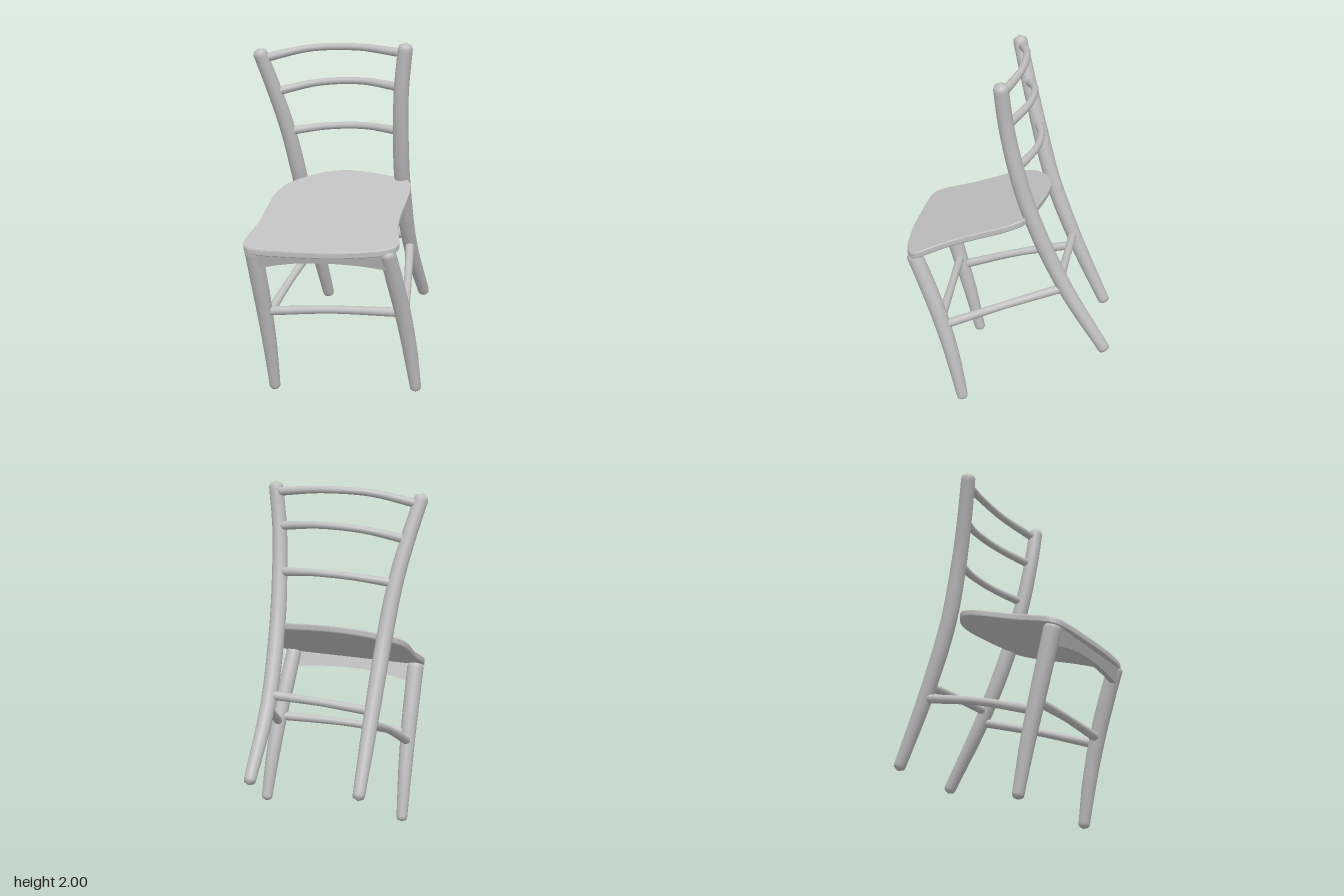
import * as THREE from 'three';
import { mergeVertices } from 'three/addons/utils/BufferGeometryUtils.js';

const grey = new THREE.MeshStandardMaterial({ color: 0xbfbfbf });
grey.name = 'plainGrey';

// Smooth round bar through points [x, y, z], tapering through the given radii, with rounded ends
function bar(name, points, radii, segments = 110) {
  const curve = new THREE.CatmullRomCurve3(points.map((p) => new THREE.Vector3(...p)));
  const length = curve.getLength();
  let geo = new THREE.TubeGeometry(curve, segments, 1, 16);
  const pos = geo.attributes.position;
  const v = new THREE.Vector3();
  for (let i = 0; i <= segments; i++) {
    const t = i / segments;
    const c = curve.getPointAt(t);
    const f = t * (radii.length - 1);
    const k = Math.min(Math.floor(f), radii.length - 2);
    let r = THREE.MathUtils.lerp(radii[k], radii[k + 1], f - k);
    const d = Math.min(t, 1 - t) * length / (r * 0.8);
    if (d < 1) r *= Math.sqrt(Math.max(0, 1 - (1 - d) ** 2));
    for (let j = 0; j <= 16; j++) {
      const n = i * 17 + j;
      v.fromBufferAttribute(pos, n).sub(c).multiplyScalar(r).add(c);
      pos.setXYZ(n, v.x, v.y, v.z);
    }
  }
  geo.deleteAttribute('uv');
  geo.deleteAttribute('normal');
  geo = mergeVertices(geo, 1e-5);
  geo.computeVertexNormals();
  return named(name, geo);
}

function named(name, geo) {
  const mesh = new THREE.Mesh(geo, grey);
  mesh.name = name;
  return mesh;
}

// Tilted seat slab with a rounded back and waisted sides; outline is [x, z]
function seat() {
  const outline = [
    [-0.41, 0.13], [-0.375, 0.29], [-0.35, 0.4], [-0.345, 0.5], [-0.33, 0.58], [-0.3, 0.61], [-0.25, 0.615],
    [0, 0.58], [0.22, 0.535], [0.44, 0.46], [0.495, 0.42], [0.505, 0.385], [0.48, 0.34], [0.43, 0.25],
    [0.4, 0.17], [0.37, 0.05], [0.335, -0.08], [0.29, -0.15], [0.2, -0.17], [0.02, -0.18],
    [-0.12, -0.17], [-0.23, -0.13], [-0.33, -0.05], [-0.395, 0.03],
  ];
  const curve = new THREE.CatmullRomCurve3(outline.map(([x, z]) => new THREE.Vector3(x, -z, 0)), true);
  const shape = new THREE.Shape(curve.getPoints(120).slice(0, -1).map((p) => new THREE.Vector2(p.x, p.y)));
  const geo = new THREE.ExtrudeGeometry(shape, {
    depth: 0.02, bevelThickness: 0.01, bevelSize: 0.008, bevelSegments: 3,
  });
  geo.rotateX(-Math.PI / 2);
  const pos = geo.attributes.position;
  for (let i = 0; i < pos.count; i++) {
    pos.setY(i, pos.getY(i) + 1.12 - 0.35 * pos.getZ(i));
  }
  geo.computeVertexNormals();
  return named('seat', geo);
}

// Arched board under the front edge of the seat
function apron() {
  const shape = new THREE.Shape();
  shape.moveTo(-0.29, 0.92);
  shape.lineTo(-0.29, 0.79);
  shape.quadraticCurveTo(-0.1, 0.86, 0.1, 0.872);
  shape.quadraticCurveTo(0.3, 0.885, 0.46, 0.865);
  shape.lineTo(0.46, 0.97);
  shape.closePath();
  const geo = new THREE.ExtrudeGeometry(shape, { depth: 0.03, bevelEnabled: false, curveSegments: 12 });
  const pos = geo.attributes.position;
  for (let i = 0; i < pos.count; i++) {
    const x = pos.getX(i), y = pos.getY(i);
    pos.setZ(i, pos.getZ(i) + 0.525 - 0.21 * x + 0.3 * (y - 0.94 - 0.07 * x));
  }
  geo.computeVertexNormals();
  return named('frontApron', geo);
}

export function createModel() {
  const group = new THREE.Group();
  group.name = 'chair';

  // Curved back posts, running from the feet to the top of the back
  group.add(
    bar('rightBackPost', [[-0.395, 0.315, -0.445], [-0.38, 0.74, -0.25], [-0.38, 1.12, -0.1],
      [-0.405, 1.44, -0.005], [-0.445, 1.68, 0.07], [-0.5, 1.932, 0.15]],
    [0.033, 0.041, 0.045, 0.045, 0.042, 0.04]),
    bar('leftBackPost', [[0.18, 0.375, -0.615], [0.2, 0.78, -0.362], [0.237, 1.19, -0.188],
      [0.265, 1.48, -0.107], [0.29, 1.74, -0.06], [0.325, 2, -0.04]],
    [0.033, 0.041, 0.045, 0.045, 0.042, 0.04]),
  );

  // Front legs, thicker under the seat
  group.add(
    bar('rightFrontLeg', [[-0.305, 0, 0.335], [-0.297, 0.28, 0.395], [-0.29, 0.52, 0.458], [-0.285, 0.93, 0.575]],
      [0.031, 0.041, 0.047, 0.049]),
    bar('leftFrontLeg', [[0.5, 0.08, 0.133], [0.488, 0.36, 0.198], [0.477, 0.6, 0.272], [0.467, 0.8, 0.35],
      [0.46, 0.985, 0.43]], [0.031, 0.04, 0.045, 0.047, 0.045]),
  );

  group.add(seat(), apron());

  // Bowed rails of the back
  const rails = [
    [[-0.485, 1.875, 0.125], [-0.25, 1.935, 0.015], [0.02, 1.953, -0.05], [0.31, 1.94, -0.05]],
    [[-0.445, 1.68, 0.07], [-0.23, 1.735, -0.04], [0.02, 1.758, -0.09], [0.29, 1.748, -0.065]],
    [[-0.4, 1.445, -0.005], [-0.2, 1.478, -0.09], [0.02, 1.496, -0.13], [0.265, 1.494, -0.11]],
  ];
  rails.forEach((points, i) => group.add(bar('backRail' + (i + 1), points, [0.025, 0.02, 0.02, 0.025], 50)));

  // Stretchers between the legs
  const stretchers = {
    frontStretcher: [[-0.29, 0.515, 0.455], [0.08, 0.558, 0.36], [0.477, 0.582, 0.265]],
    backStretcher: [[-0.38, 0.765, -0.235], [-0.1, 0.8, -0.29], [0.2, 0.828, -0.345]],
    rightStretcher: [[-0.38, 0.7, -0.265], [-0.335, 0.6, 0.085], [-0.292, 0.465, 0.44]],
    leftStretcher: [[0.2, 0.765, -0.37], [0.345, 0.665, -0.06], [0.478, 0.55, 0.25]],
  };
  for (const [name, points] of Object.entries(stretchers)) group.add(bar(name, points, [0.026, 0.022, 0.026], 40));

  return group;
}
